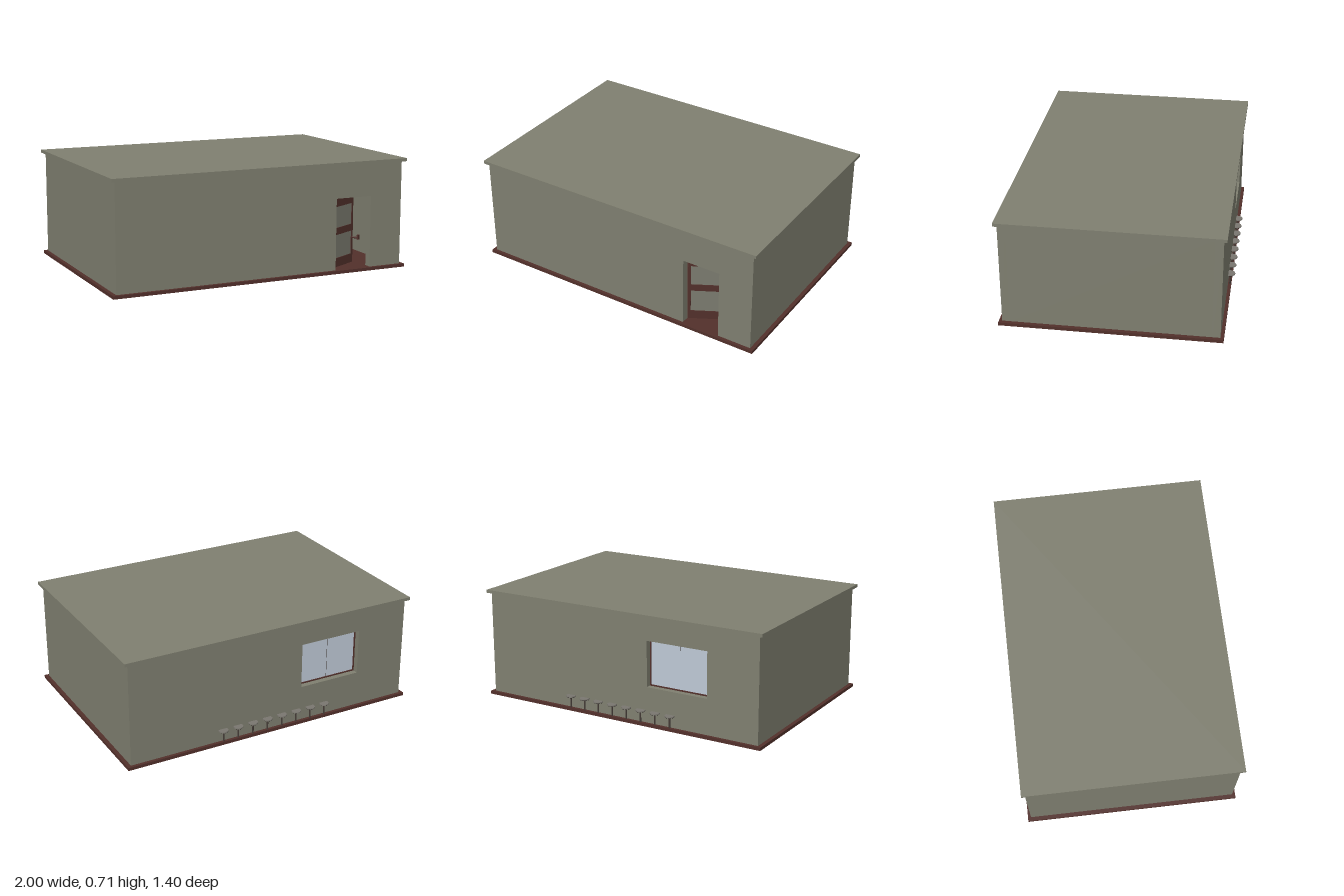
import * as THREE from 'three';

const mat = (name, color) => {
  const m = new THREE.MeshStandardMaterial({ color });
  m.name = name;
  return m;
};

export function createModel() {
  const model = new THREE.Group();
  const plaster = mat('olive grey plaster', 0x7f7f70);
  const wood = mat('dark red wood', 0x52302b);
  const glass = mat('pale blue glass', 0xbec9d6);
  const pane = mat('dull door pane', 0x7b7b6f);
  const metal = mat('dark metal', 0x453c37);
  const cushion = mat('grey cushion', 0x7a7770);

  const add = (parent, name, geometry, material, x = 0, y = 0, z = 0) => {
    const mesh = new THREE.Mesh(geometry, material);
    mesh.name = name;
    mesh.position.set(x, y, z);
    parent.add(mesh);
    return mesh;
  };
  // box given by its minimum and maximum corners
  const box = (parent, name, material, [x0, y0, z0], [x1, y1, z1]) =>
    add(parent, name, new THREE.BoxGeometry(x1 - x0, y1 - y0, z1 - z0), material,
      (x0 + x1) / 2, (y0 + y1) / 2, (z0 + z1) / 2);
  const polygon = (points, Type = THREE.Shape) =>
    new Type(points.map(([x, y]) => new THREE.Vector2(x, y)));

  const W = 0.975, BACK = -0.655, FRONT = 0.68, T = 0.05, Y0 = 0.02, Y1 = 0.69;

  // floor slab and flat roof, both overhanging the walls
  box(model, 'floor', wood, [-1, 0, -0.675], [1, Y0, 0.7]);
  box(model, 'roof', plaster, [-1, Y1, -0.675], [1, 0.71, 0.7]);

  // side walls
  for (const s of [-1, 1]) {
    add(model, s < 0 ? 'rightWall' : 'leftWall',
      new THREE.BoxGeometry(T, Y1 - Y0, FRONT - BACK - 2 * T), plaster,
      s * (W - T / 2), (Y0 + Y1) / 2, (FRONT + BACK) / 2);
  }

  // front wall with a doorway notch
  const D0 = 0.5, D1 = 0.75, DOOR_TOP = 0.48;
  const frontShape = polygon([[-W, Y0], [D0, Y0], [D0, DOOR_TOP], [D1, DOOR_TOP],
    [D1, Y0], [W, Y0], [W, Y1], [-W, Y1]]);
  const wallOptions = { depth: T, bevelEnabled: false };
  add(model, 'frontWall', new THREE.ExtrudeGeometry(frontShape, wallOptions), plaster, 0, 0, FRONT - T);

  // back wall with a window opening
  const X0 = -0.63, X1 = -0.21, S0 = 0.25, S1 = 0.545;
  const backShape = polygon([[-W, Y0], [W, Y0], [W, Y1], [-W, Y1]]);
  backShape.holes.push(polygon([[X0, S0], [X0, S1], [X1, S1], [X1, S0]], THREE.Path));
  add(model, 'backWall', new THREE.ExtrudeGeometry(backShape, wallOptions), plaster, 0, 0, BACK);

  // recessed window: pane, thin frame and a fine mullion
  const win = new THREE.Group();
  win.name = 'window';
  model.add(win);
  const zg = BACK + 0.042, f = 0.008;
  box(win, 'windowPane', glass, [X0, S0, zg], [X1, S1, zg + 0.006]);
  for (const x of [X0, X1 - f]) box(win, 'windowStile', wood, [x, S0, zg - 0.006], [x + f, S1, zg + 0.008]);
  for (const y of [S0, S1 - f]) box(win, 'windowRail', wood, [X0 + f, y, zg - 0.006], [X1 - f, y + f, zg + 0.008]);
  const xm = (X0 + X1) / 2;
  box(win, 'mullion', metal, [xm - 0.001, S0 + f, zg - 0.001], [xm + 0.001, S1 - f, zg]);

  // door standing ajar, hinged on its inner left edge
  const door = new THREE.Group();
  door.name = 'door';
  door.position.set(D0, Y0, FRONT - T - 0.008);
  door.rotation.y = 0.49;
  model.add(door);
  const L = D1 - D0, H = DOOR_TOP - Y0, t = 0.007, st = 0.017;
  for (const x of [0, L - st]) box(door, 'doorStile', wood, [x, 0, -t], [x + st, H, t]);
  for (const [y0, y1] of [[0, 0.058], [0.21, 0.255], [0.392, H]]) {
    box(door, 'doorRail', wood, [st, y0, -t], [L - st, y1, t]);
  }
  for (const [y0, y1] of [[0.058, 0.21], [0.255, 0.392]]) {
    box(door, 'doorPane', pane, [st, y0, -0.003], [L - st, y1, 0.003]);
  }
  // handles on both faces
  for (const s of [-1, 1]) {
    const stem = add(door, 'handleStem', new THREE.CylinderGeometry(0.006, 0.006, 0.045, 8), wood,
      L - 0.009, 0.165, s * 0.028);
    stem.rotation.x = Math.PI / 2;
    add(door, 'handleKnob', new THREE.BoxGeometry(0.02, 0.03, 0.012), wood, L - 0.009, 0.17, s * 0.052);
  }

  // row of stools along the back wall
  for (let i = 0; i < 8; i++) {
    const stool = new THREE.Group();
    stool.name = 'stool';
    stool.position.set(-0.378 + i * 0.1045, 0, -0.667);
    model.add(stool);
    add(stool, 'stoolLeg', new THREE.CylinderGeometry(0.005, 0.005, 0.072, 8), metal, 0, 0.056, 0);
    add(stool, 'seatBase', new THREE.CylinderGeometry(0.031, 0.028, 0.004, 14), metal, 0, 0.092, 0);
    add(stool, 'seat', new THREE.CylinderGeometry(0.031, 0.032, 0.007, 14), cushion, 0, 0.0975, 0);
  }
  return model;
}
